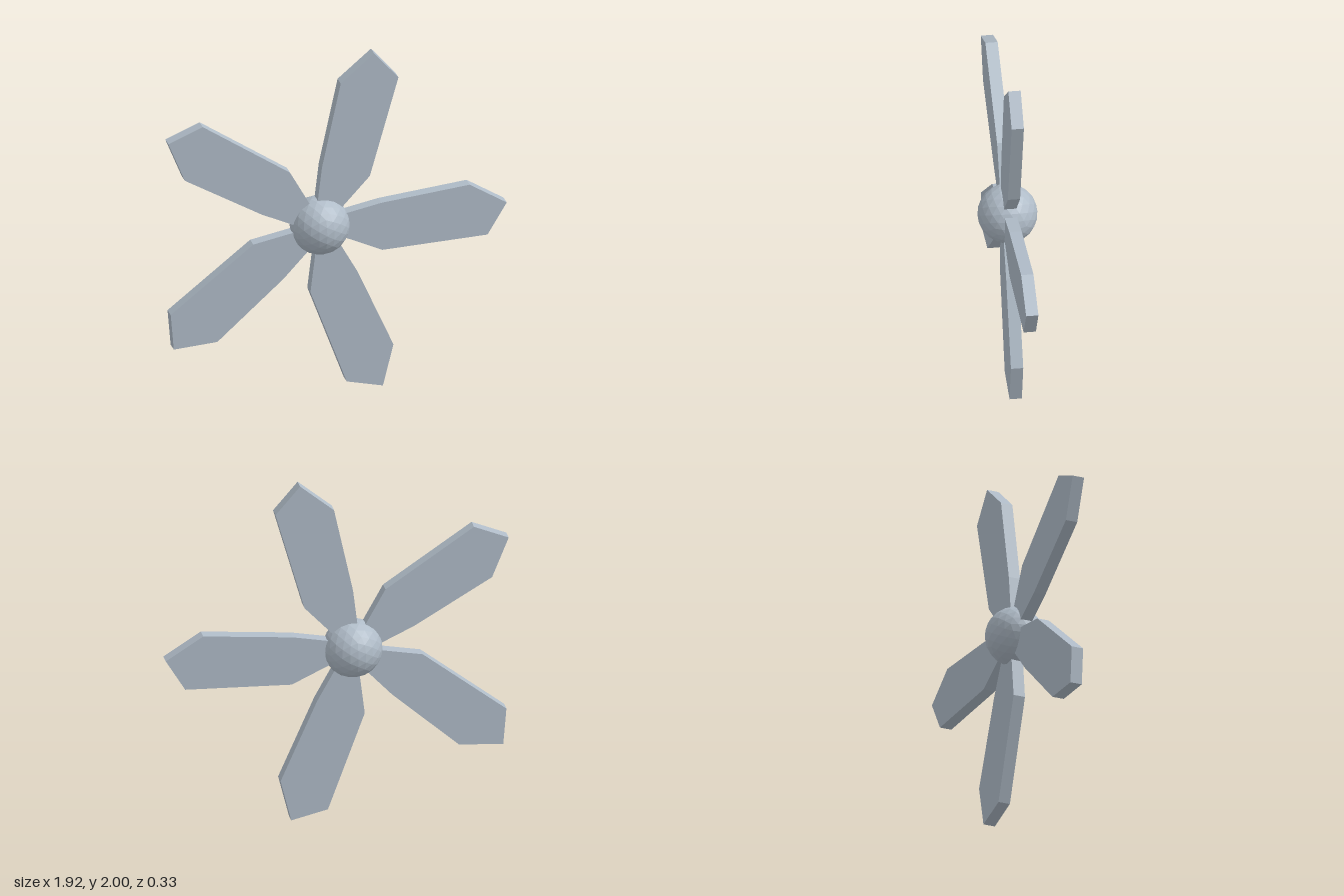
import * as THREE from 'three';

export function createModel() {
  const model = new THREE.Group();
  model.name = 'propeller';
  const steel = new THREE.MeshStandardMaterial({ color: 0xb0bcc8, flatShading: true });
  steel.name = 'blue grey';

  // Everything turns about the hub centre
  const rotor = new THREE.Group();
  rotor.name = 'rotor';
  rotor.position.set(-0.094, 0.996, 0);
  model.add(rotor);

  // Faceted ball hub
  const hub = new THREE.Mesh(new THREE.IcosahedronGeometry(0.165, 3), steel);
  hub.name = 'hub';
  rotor.add(hub);

  // One asymmetric flat blade pointing along +x, repeated five times
  const outline = new THREE.Shape([
    [0.02, -0.025], [0.347, -0.177], [0.942, -0.154], [1.051, 0.026],
    [0.841, 0.157], [0.34, 0.106], [0.02, 0.043],
  ].map(([x, y]) => new THREE.Vector2(x, y)));
  const thickness = 0.068;
  const bladeGeometry = new THREE.ExtrudeGeometry(outline, { depth: thickness, bevelEnabled: false });
  bladeGeometry.translate(0, 0, -thickness / 2);

  for (let i = 0; i < 5; i++) {
    const blade = new THREE.Mesh(bladeGeometry, steel);
    blade.name = `blade${i + 1}`;
    blade.rotation.z = (i * Math.PI * 2) / 5;
    rotor.add(blade);
  }
  return model;
}
